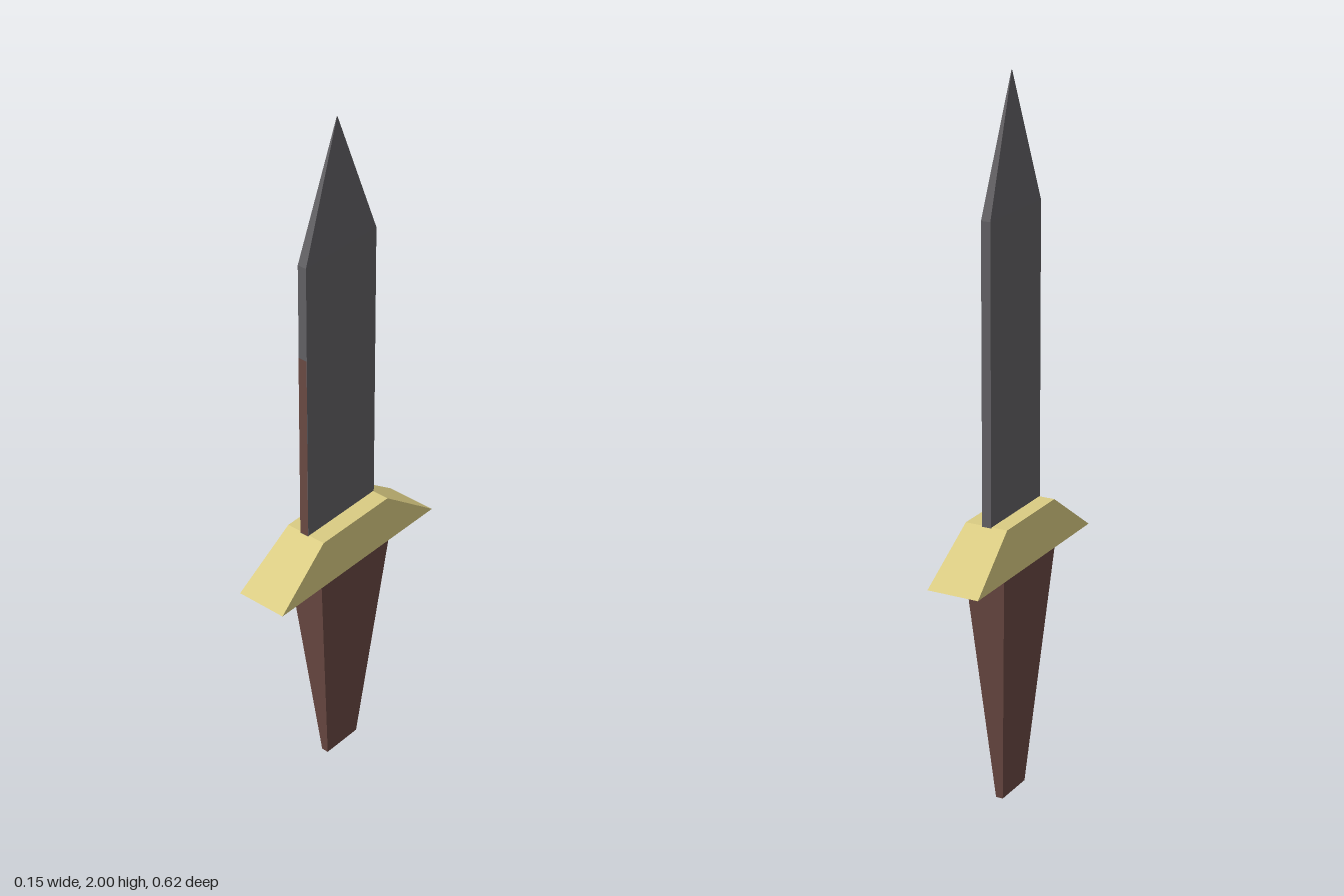
import * as THREE from 'three';

const steel = new THREE.MeshStandardMaterial({ color: 0x636165, flatShading: true });
steel.name = 'steel';
const brass = new THREE.MeshStandardMaterial({ color: 0xdacc83, flatShading: true });
brass.name = 'brass';
const wood = new THREE.MeshStandardMaterial({ color: 0x6b4a43, flatShading: true });
wood.name = 'wood';

// Tapered block between two rectangles given as [x0, x1, z0, z1]
function taperedBlock(name, material, y0, bottom, y1, top) {
  const geometry = new THREE.BoxGeometry(1, 1, 1);
  const p = geometry.attributes.position;
  for (let i = 0; i < p.count; i++) {
    const r = p.getY(i) > 0 ? top : bottom;
    p.setXYZ(i, r[p.getX(i) > 0 ? 1 : 0], p.getY(i) > 0 ? y1 : y0, r[p.getZ(i) > 0 ? 3 : 2]);
  }
  geometry.computeVertexNormals();
  const mesh = new THREE.Mesh(geometry, material);
  mesh.name = name;
  return mesh;
}

export function createModel() {
  const model = new THREE.Group();
  model.name = 'dagger';

  // Grip narrowing towards the bottom
  model.add(taperedBlock('grip', wood, 0, [-0.014, 0.007, -0.072, 0.053], 0.7, [-0.065, 0.055, -0.155, 0.132]));

  // Crossguard with sloping ends
  model.add(taperedBlock('crossguard', brass, 0.69, [-0.075, 0.075, -0.312, 0.31], 0.82, [-0.062, 0.062, -0.133, 0.13]));

  // Straight blade and its pointed tip
  const section = [-0.016, 0.011, -0.136, 0.133];
  const blade = new THREE.Group();
  blade.name = 'blade';
  blade.add(taperedBlock('bladeBody', steel, 0.8, section, 1.64, section));
  blade.add(taperedBlock('bladeTip', steel, 1.64, section, 2, [-0.003, -0.002, -0.001, 0.001]));

  // Brown strip on the lower front edge
  const strip = new THREE.Mesh(new THREE.PlaneGeometry(0.027, 0.55), wood);
  strip.name = 'edgeStrip';
  strip.position.set(-0.0025, 1.095, 0.134);
  blade.add(strip);
  model.add(blade);

  return model;
}
